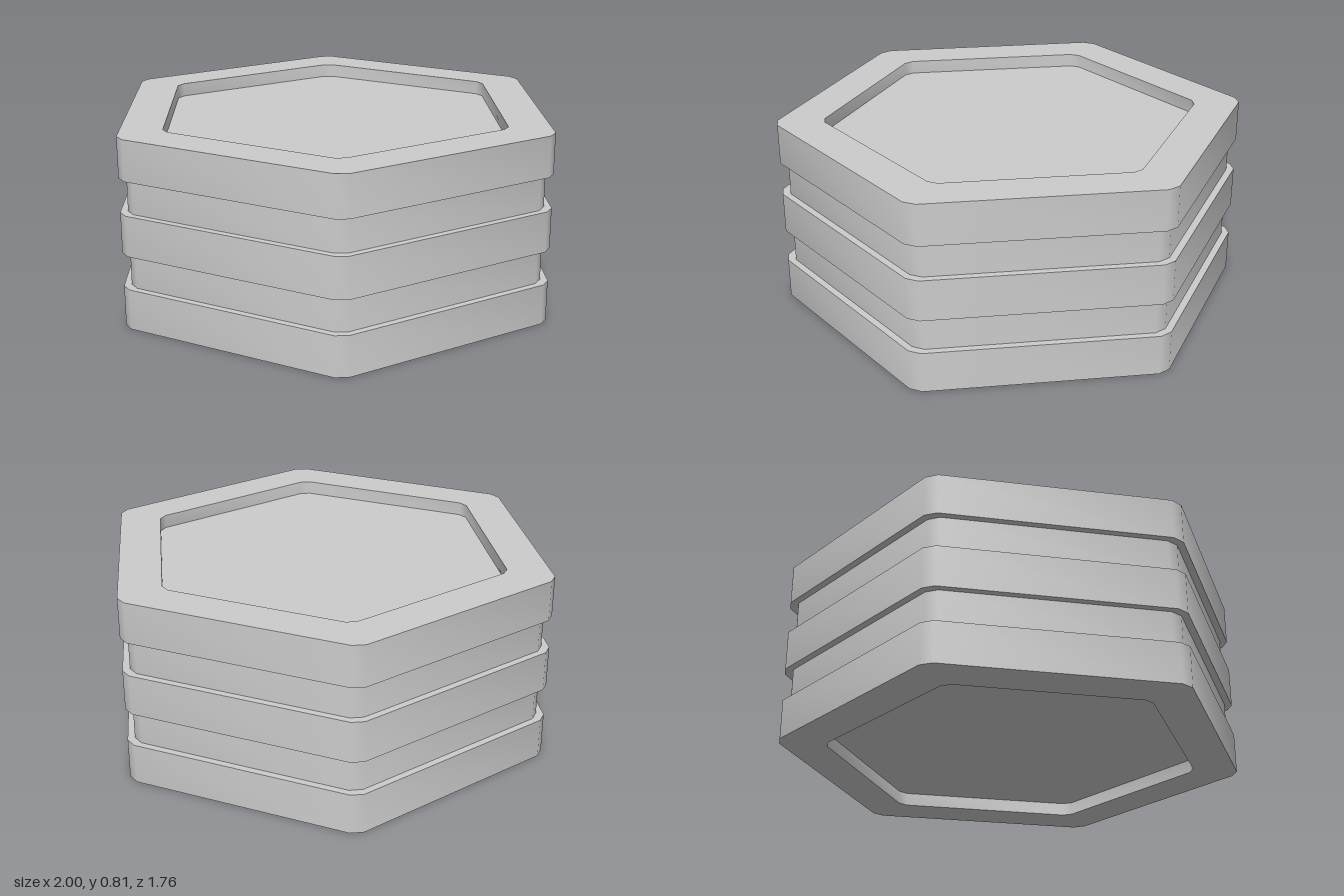
import * as THREE from 'three';
import { toCreasedNormals } from 'three/addons/utils/BufferGeometryUtils.js';

// Unit hexagon with its six corners cut flat, corners pointing along +x and -x
const CUT = 0.028;
const outline = [];
for (let k = 0; k < 6; k++) {
  for (const z of [-CUT, CUT]) {
    outline.push(new THREE.Vector2(1, z).rotateAround(new THREE.Vector2(), k * Math.PI / 3));
  }
}

// Skin scaled copies of the outline along a profile of [scale, height] pairs
function loft(profile) {
  const positions = [];
  const point = ([scale, y], i) => {
    const p = outline[i % outline.length];
    return [p.x * scale, y, p.y * scale];
  };
  for (let j = 0; j < profile.length - 1; j++) {
    const low = profile[j], high = profile[j + 1];
    for (let i = 0; i < outline.length; i++) {
      const a = point(low, i), b = point(low, i + 1);
      const c = point(high, i + 1), d = point(high, i);
      if (high[0] > 0) positions.push(...a, ...d, ...c);
      if (low[0] > 0) positions.push(...a, ...c, ...b);
    }
  }
  const geometry = new THREE.BufferGeometry();
  geometry.setAttribute('position', new THREE.Float32BufferAttribute(positions, 3));
  return toCreasedNormals(geometry, THREE.MathUtils.degToRad(40));
}

export function createModel() {
  const material = new THREE.MeshStandardMaterial({ color: 0xcccccc });
  const model = new THREE.Group();
  model.name = 'hexagonalStack';

  const height = 0.815, band = 0.175, pitch = 0.32;
  const outer = 1, groove = 0.966, recess = 0.8, depth = 0.058;

  const profile = [];
  // recessed underside
  profile.push([0, depth], [recess, depth], [recess, 0]);
  // three wide bands, with the grooves formed between them
  for (let i = 0; i < 3; i++) {
    const bottom = i * pitch;
    const top = i === 2 ? height : bottom + band;
    profile.push([outer, bottom], [outer, top]);
    if (i < 2) profile.push([groove, top], [groove, bottom + pitch]);
  }
  // recessed top
  profile.push([recess, height], [recess, height - depth], [0, height - depth]);

  const body = new THREE.Mesh(loft(profile), material);
  body.name = 'bandedBody';
  model.add(body);
  return model;
}
